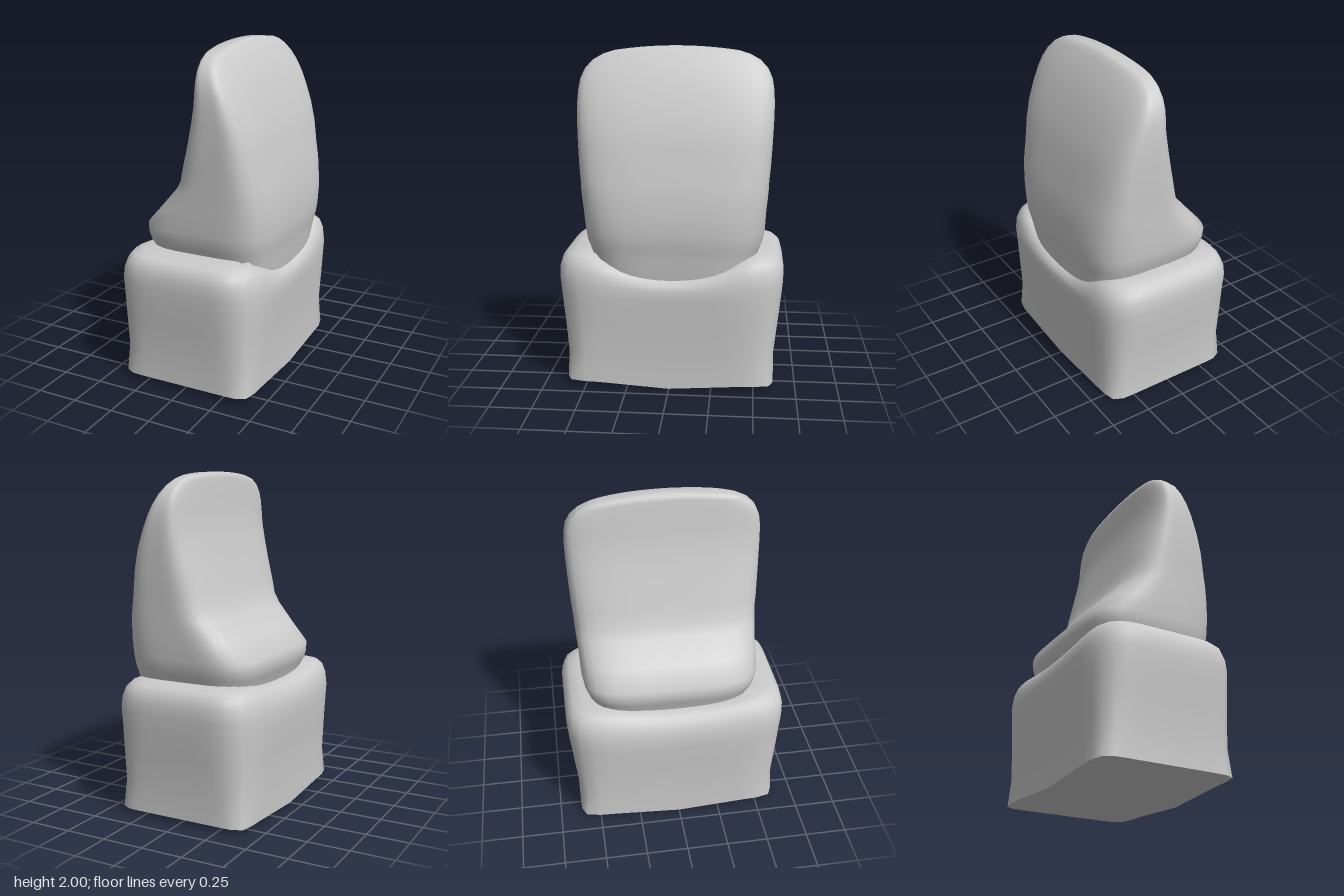
import * as THREE from 'three';
import { toCreasedNormals } from 'three/addons/utils/BufferGeometryUtils.js';

const SEGMENTS = 64;

// Closed loft through horizontal rounded-rectangle rings.
// ring: [y, xMin, xMax, zHalf, squareness]; bend(x, y, z) returns the final height.
function loft(rings, zCentre, bend) {
  const pos = [], index = [];
  const push = (x, y, z) => pos.push(x, bend(x, y, z), z + zCentre) / 3 - 1;
  for (const [y, x0, x1, hz, n] of rings) {
    for (let i = 0; i < SEGMENTS; i++) {
      const a = (i / SEGMENTS) * Math.PI * 2, c = Math.cos(a), s = Math.sin(a);
      const r = (Math.abs(c) ** n + Math.abs(s) ** n) ** (-1 / n);
      push((x0 + x1) / 2 + (c * r * (x1 - x0)) / 2, y, s * r * hz);
    }
  }
  const [first, last] = [rings[0], rings[rings.length - 1]];
  const bottom = push((first[1] + first[2]) / 2, first[0], 0);
  const top = push((last[1] + last[2]) / 2, last[0], 0);
  const end = (rings.length - 1) * SEGMENTS;
  for (let i = 0; i < SEGMENTS; i++) {
    const k = (i + 1) % SEGMENTS;
    for (let o = 0; o < end; o += SEGMENTS) {
      const a = o + i, b = o + k, c = a + SEGMENTS, d = b + SEGMENTS;
      index.push(a, c, b, b, c, d);
    }
    index.push(bottom, i, k, top, end + k, end + i);
  }
  const g = new THREE.BufferGeometry();
  g.setAttribute('position', new THREE.Float32BufferAttribute(pos, 3));
  g.setIndex(index);
  return toCreasedNormals(g, 0.95);
}

export function createModel() {
  const group = new THREE.Group();
  const material = new THREE.MeshStandardMaterial({ color: 0xcccccc, roughness: 0.7 });
  const add = (name, geometry) => {
    const mesh = new THREE.Mesh(geometry, material);
    mesh.name = name;
    group.add(mesh);
  };

  // Gum block: flares upward, rounded rim, scalloped where the tooth emerges
  const gumRings = [
    [0.03, 0.42, 0.62, 14], [0.2, 0.42, 0.62, 9], [0.4, 0.435, 0.645, 7],
    [0.55, 0.447, 0.662, 6], [0.64, 0.45, 0.67, 6], [0.71, 0.44, 0.67, 6],
    [0.765, 0.42, 0.655, 6], [0.795, 0.395, 0.625, 6], [0.81, 0.355, 0.57, 6],
    [0.812, 0.3, 0.5, 6],
  ].map(([y, x, z, n]) => [y, -x, x, z, n]);
  add('gum', loft(gumRings, 0, (x, y, z) => {
    const mid = Math.max(0, 1 - Math.abs(z) / 0.45);
    if (y < 0.1) return y - 0.03 * mid * Math.min(1, Math.abs(x) / 0.42);
    const scallop = (x > 0 ? 0.13 : 0.04) * Math.max(0, 1 - (z / 0.45) ** 2);
    const rim = Math.max(0, (y - 0.6) / 0.21);
    return y - scallop * rim * Math.min(1, Math.abs(x) / 0.3);
  }));

  // Incisor crown: convex outer face, scooped inner face, thin curved biting edge
  const crownRings = [
    [0.58, -0.3, 0.39, 0.42], [0.7, -0.32, 0.413, 0.46], [0.78, -0.335, 0.42, 0.49],
    [0.84, -0.365, 0.43, 0.51], [0.88, -0.375, 0.438, 0.525], [0.94, -0.375, 0.444, 0.535],
    [1.05, -0.272, 0.445, 0.54], [1.17, -0.162, 0.43, 0.55], [1.23, -0.125, 0.42, 0.552],
    [1.32, -0.1, 0.4, 0.56], [1.45, -0.062, 0.377, 0.567], [1.58, -0.028, 0.342, 0.572],
    [1.7, 0, 0.297, 0.574], [1.79, 0.01, 0.26, 0.57], [1.86, 0.017, 0.225, 0.56],
    [1.92, 0.023, 0.19, 0.535], [1.965, 0.028, 0.16, 0.49], [1.99, 0.032, 0.14, 0.43],
    [2.0, 0.045, 0.125, 0.37],
  ].map((r) => [...r, 4.5]);
  add('toothCrown', loft(crownRings, -0.02, (x, y, z) => {
    const t = Math.max(0, (y - 1.5) / 0.5);
    return y - 0.2 * z * z * t;
  }));

  return group;
}
